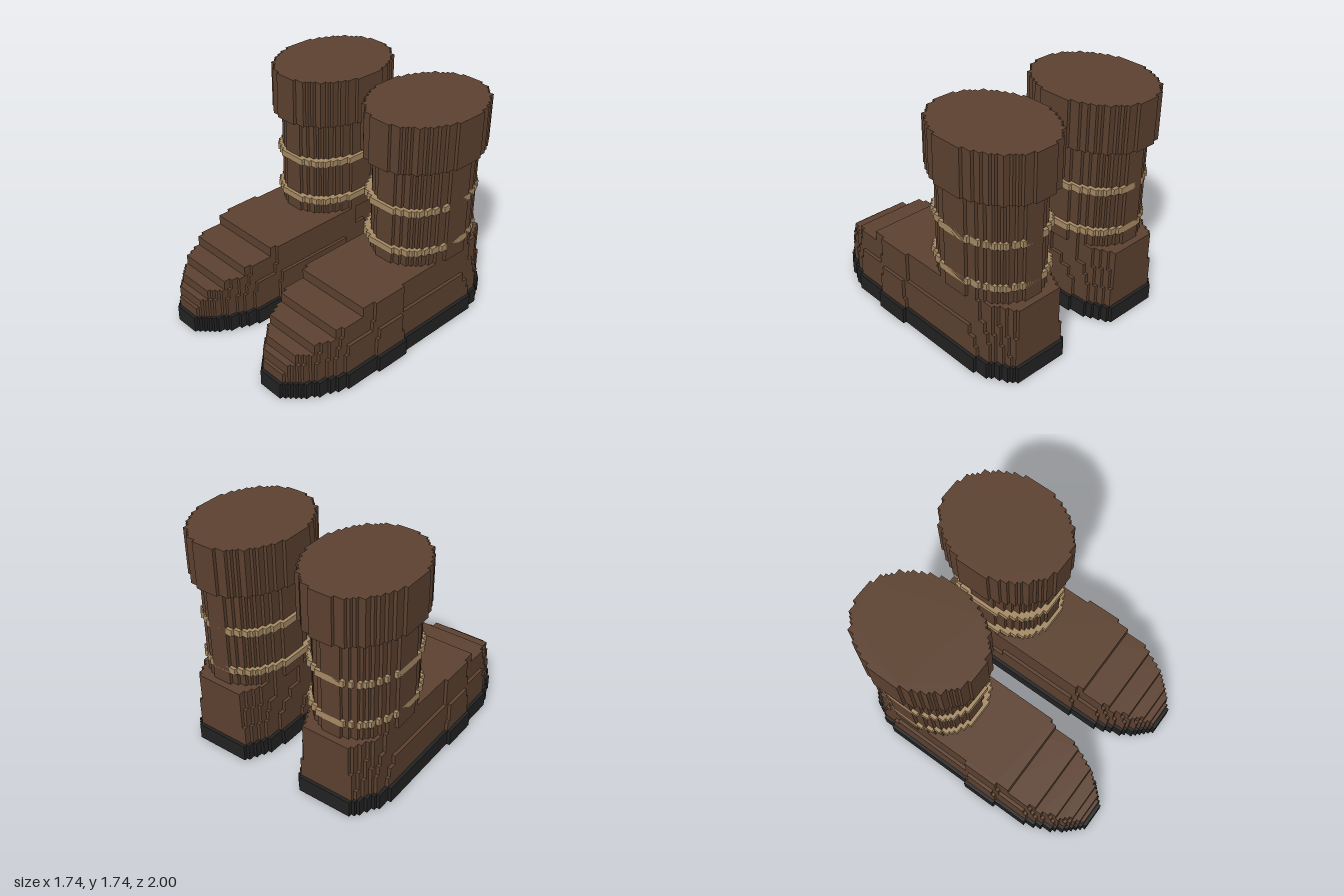
import * as THREE from 'three';

const V = 1 / 39; // size of one voxel; all dimensions below are in voxels

// Sole outline: [z, inner x, outer x]
const OUTLINE = [
  [-39, 10, 27], [-31, 6, 32], [-24, 5, 33], [-12, 4, 33], [1, 4, 33], [2, 4, 34],
  [11, 4, 34], [13, 4, 33], [15, 5, 33], [22, 5, 33], [31, 8.5, 29.5], [35, 11.5, 26.5], [39, 15, 23],
];

// Foot-shaped span of x at a given z, pulled in by inset
function foot(inset) {
  return (z) => {
    let i = 0;
    while (i < OUTLINE.length - 2 && z > OUTLINE[i + 1][0]) i++;
    const [a, b] = [OUTLINE[i], OUTLINE[i + 1]];
    const t = (z - a[0]) / (b[0] - a[0]);
    return [a[1] + (b[1] - a[1]) * t + inset, a[2] + (b[2] - a[2]) * t - inset];
  };
}

// Oval span of x at a given z, filling the box x0..x1, z0..z1
function oval(x0, x1, z0, z1, power = 2) {
  return (z) => {
    const d = Math.abs((2 * z - z0 - z1) / (z1 - z0));
    const r = (x1 - x0) / 2 * Math.pow(Math.max(0, 1 - Math.pow(d, power)), 1 / power);
    return [(x0 + x1) / 2 - r, (x0 + x1) / 2 + r];
  };
}

// Upright slab with a voxel-stepped outline
function slab(span, z0, z1, y0, y1, side) {
  const inner = [], outer = [];
  const add = (list, x, z) => {
    const last = list[list.length - 1];
    if (last && last[0] === x) { last[2] = z + 1; return; }
    list.push([x, z, z + 1]);
  };
  for (let z = z0; z < z1; z++) {
    const [a, b] = span(z + 0.5).map(Math.round);
    add(inner, a, z);
    add(outer, b, z);
  }
  const corners = (list) => list.flatMap(([x, a, b]) => [[x, a], [x, b]]);
  const points = [...corners(inner), ...corners(outer).reverse()]
    .map(([x, z]) => new THREE.Vector2(x * V * side, -z * V));
  const geometry = new THREE.ExtrudeGeometry(new THREE.Shape(points), { depth: (y1 - y0) * V, bevelEnabled: false });
  geometry.rotateX(-Math.PI / 2);
  geometry.translate(0, y0 * V, 0);
  return geometry;
}

export function createModel() {
  const material = (name, color) => {
    const m = new THREE.MeshStandardMaterial({ color });
    m.name = name;
    return m;
  };
  const leather = material('brown leather', 0x5c4130);
  const rubber = material('black rubber', 0x222222);
  const cord = material('tan cord', 0xa68a64);

  const model = new THREE.Group();
  model.name = 'pairOfBoots';

  for (const side of [1, -1]) {
    const boot = new THREE.Group();
    boot.name = side > 0 ? 'leftBoot' : 'rightBoot';
    const part = (name, mat, ...args) => {
      const mesh = new THREE.Mesh(slab(...args, side), mat);
      mesh.name = name;
      boot.add(mesh);
    };

    part('sole', rubber, foot(0), -39, 39, 0, 5);

    // Stepped upper: [bottom, top, toe z, inset]
    [[5, 8, 38, 1], [8, 11, 37, 1.1], [11, 14, 35, 1.4], [14, 17, 31, 1.7], [17, 20, 25, 2], [20, 23, 16, 2]]
      .forEach(([y0, y1, toe, inset], i) => part(`upperLayer${i + 1}`, leather, foot(inset), -38, toe, y0, y1));

    // Shaft and wide cuff
    part('shaft', leather, oval(6, 32, -36, -4), -36, -4, 23, 54);
    part('cuff', leather, oval(3, 34, -39, -1), -39, -1, 54, 68);

    // Cords wrapped around the shaft
    part('lowerCord', cord, oval(5, 32, -36, -3, 2.3), -36, -3, 27, 29);
    part('upperCord', cord, oval(5, 32, -36, -3, 2.3), -36, -3, 40, 42);

    model.add(boot);
  }
  return model;
}
